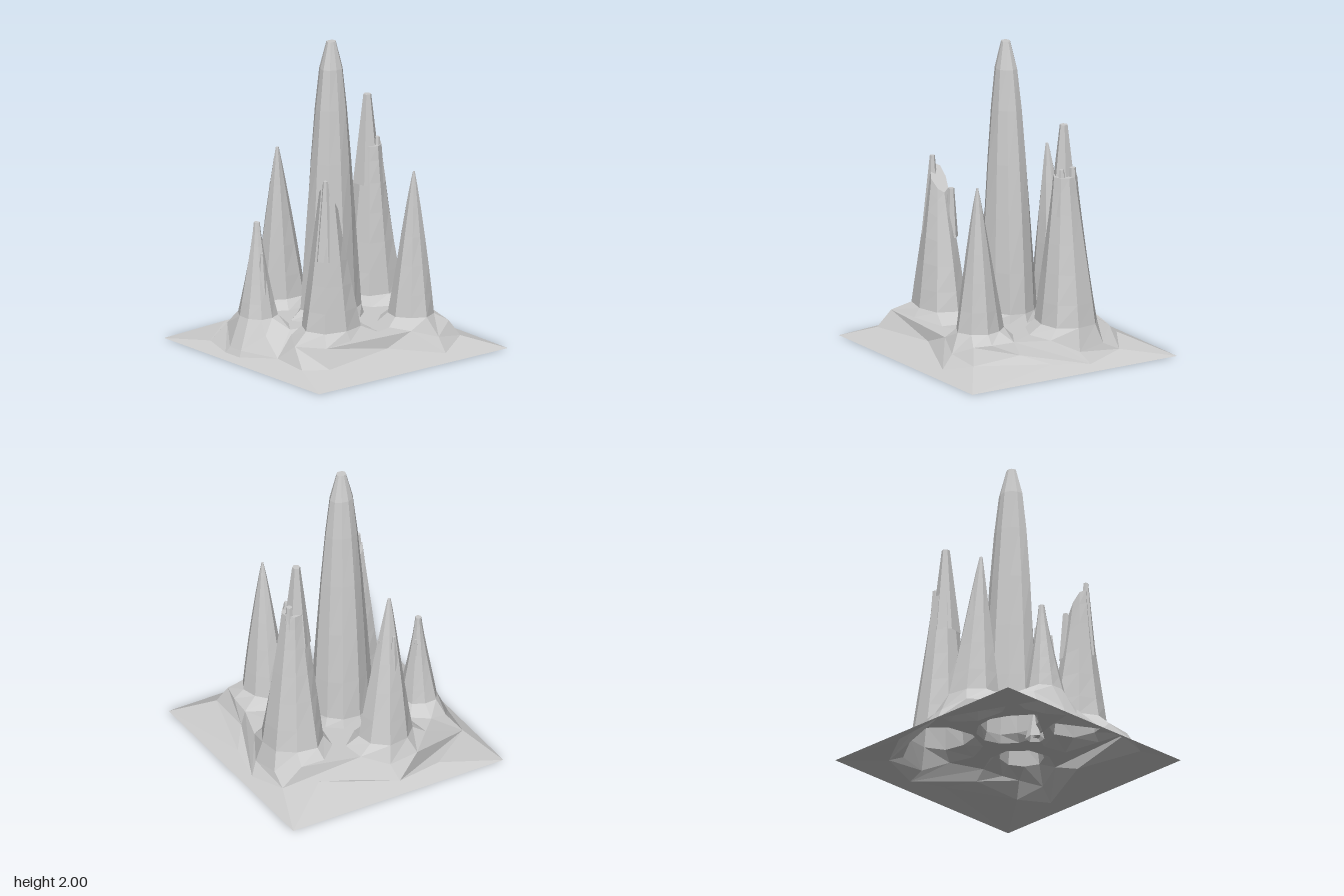
import * as THREE from 'three';

const HALF = 0.77;
const BODY_BASE = 0.25;
const LEVELS = [0, 0.15, 0.35, 0.55, 0.75, 0.9, 1];
const material = new THREE.MeshStandardMaterial({ color: 0xcccccc, flatShading: true, side: THREE.DoubleSide });

// Elliptical foot outline; each listed corner pulls the nearest point onto itself
function makeFoot(sides, turn, [x, z], [rx, rz], corners = []) {
  const foot = Array.from({ length: sides }, (_, i) => {
    const a = turn + i / sides * Math.PI * 2;
    return new THREE.Vector2(x + rx * Math.cos(a), z + rz * Math.sin(a));
  });
  for (const corner of corners) {
    const target = new THREE.Vector2(...corner);
    foot.reduce((near, p) => (p.distanceTo(target) < near.distanceTo(target) ? p : near)).copy(target);
  }
  return foot;
}

// Ground rises from the square rim to a low plateau
function plateau(x, z) {
  const edge = HALF - Math.max(Math.abs(x), Math.abs(z));
  return THREE.MathUtils.clamp(0.93 * edge, 0, 0.195);
}

function makeMesh(name, points, index) {
  const geometry = new THREE.BufferGeometry();
  geometry.setAttribute('position', new THREE.Float32BufferAttribute(points.flat(), 3));
  geometry.setIndex(index);
  geometry.computeVertexNormals();
  const mesh = new THREE.Mesh(geometry, material);
  mesh.name = name;
  return mesh;
}

// Skin a stack of equal-length rings and close the top with a fan
function loft(name, rings) {
  const n = rings[0].length, index = [];
  for (let r = 0; r < rings.length - 1; r++) {
    for (let i = 0; i < n; i++) {
      const a = r * n + i, b = r * n + (i + 1) % n;
      index.push(b, a, a + n, b, a + n, b + n);
    }
  }
  const top = (rings.length - 1) * n;
  for (let i = 1; i < n - 1; i++) index.push(top, top + i + 1, top + i);
  return makeMesh(name, rings.flat(), index);
}

// Spire tapering from its foot to a tip; power bends the flank, blunt is the share of radius left on top
function makeSpire({ name, sides, turn = 0, base, spread, corners, body, tip, height, power, blunt, tilt = 0, crags = [] }) {
  const group = new THREE.Group();
  group.name = name;
  const foot = makeFoot(sides, turn, base, spread, corners);
  const rings = LEVELS.map((t, level) => {
    const scale = blunt + (1 - blunt) * (1 - t) ** power;
    return foot.map((_, i) => {
      const a = turn + i / sides * Math.PI * 2;
      const rough = scale * (1 + 0.05 * Math.sin(i * 2.4 + level * 0.5));
      const dx = body[0] * rough * Math.cos(a), dz = body[1] * rough * Math.sin(a);
      return [
        THREE.MathUtils.lerp(base[0], tip[0], t) + dx,
        THREE.MathUtils.lerp(BODY_BASE, height, t) + tilt * t ** 3 * dx,
        THREE.MathUtils.lerp(base[1], tip[1], t) + dz
      ];
    });
  });
  group.add(loft(name + 'Body', [foot.map(p => [p.x, plateau(p.x, p.y), p.y]), ...rings]));
  group.add(...crags);
  return { group, foot };
}

// Small pointed shard that breaks up a summit
function makeCrag(x, z, bottom, top, radius, tipRadius) {
  const rings = [0, 0.5, 1].map(t => {
    const r = THREE.MathUtils.lerp(radius, tipRadius, t);
    return Array.from({ length: 6 }, (_, i) => {
      const a = i * Math.PI / 3 + x * 9;
      return [x + r * Math.cos(a), THREE.MathUtils.lerp(bottom, top, t), z + r * Math.sin(a)];
    });
  });
  return loft('crag', rings);
}

// Faceted sheet between an outline and its holes, each loop given as { points, lift }
function makeSheet(name, outline, holes) {
  const faces = THREE.ShapeUtils.triangulateShape(outline.points, holes.map(h => h.points));
  const points = [outline, ...holes].flatMap(loop =>
    loop.points.map(p => [p.x, loop.lift * plateau(p.x, p.y), p.y]));
  return makeMesh(name, points, faces.flatMap(([a, b, c]) => [a, c, b]));
}

// Square ground: a gentle outer slope, then a step up to the hollow spire feet
function makeGround(feet) {
  const ground = new THREE.Group();
  ground.name = 'ground';
  const loop = (pairs, lift) => ({ points: pairs.map(p => new THREE.Vector2(...p)), lift });
  const rim = loop([[-HALF, -HALF], [HALF, -HALF], [HALF, HALF], [-HALF, HALF]], 0);
  const apron = loop([[-0.72, -0.08], [-0.72, -0.22], [-0.68, -0.42], [-0.36, -0.66], [-0.06, -0.69],
    [0.22, -0.6], [0.44, -0.53], [0.64, -0.42], [0.71, -0.16], [0.66, 0.1], [0.54, 0.26], [0.52, 0.6],
    [0.32, 0.7], [0.1, 0.63], [-0.05, 0.57], [-0.56, 0.62], [-0.66, 0.47], [-0.64, 0.2]], 0.6);
  ground.add(makeSheet('outerGround', rim, [apron]));
  ground.add(makeSheet('innerGround', apron, feet.map(points => ({ points, lift: 1 }))));
  return ground;
}

export function createModel() {
  const central = makeSpire({
    name: 'centralSpire', sides: 11, base: [-0.03, -0.02], spread: [0.22, 0.2], corners: [[-0.32, -0.06]],
    body: [0.2, 0.175], tip: [-0.035, -0.005], height: 2, power: 0.55, blunt: 0.16,
    crags: [makeCrag(-0.09, 0.15, 0.17, 0.38, 0.06, 0.012)]
  });
  const right = makeSpire({
    name: 'rightSpire', sides: 9, turn: 0.2, base: [0.42, -0.17], spread: [0.24, 0.28],
    body: [0.2, 0.2], tip: [0.41, -0.16], height: 1.2, power: 1.15, blunt: 0.38,
    crags: [makeCrag(0.39, -0.165, 0.95, 1.53, 0.095, 0.026), makeCrag(0.435, -0.12, 0.95, 1.25, 0.055, 0.015),
      makeCrag(0.455, -0.19, 0.95, 1.26, 0.045, 0.02)]
  });
  const frontRight = makeSpire({
    name: 'frontRightSpire', sides: 9, turn: 0.87, base: [0.28, 0.4], spread: [0.21, 0.22],
    corners: [[0.46, 0.56], [0.32, 0.63], [0.5, 0.28]],
    body: [0.145, 0.155], tip: [0.29, 0.42], height: 1.18, power: 0.9, blunt: 0.04
  });
  const frontLeft = makeSpire({
    name: 'frontLeftSpire', sides: 8, base: [-0.3, 0.31], spread: [0.29, 0.2],
    corners: [[-0.52, 0.54], [-0.04, 0.47]],
    body: [0.2, 0.17], tip: [-0.315, 0.315], height: 1.08, power: 1.05, blunt: 0.32, tilt: -1.3,
    crags: [makeCrag(-0.36, 0.335, 0.7, 1.22, 0.07, 0.016), makeCrag(-0.25, 0.265, 0.7, 1.02, 0.045, 0.02)]
  });
  const backLeft = makeSpire({
    name: 'backLeftSpire', sides: 9, base: [-0.5, -0.17], spread: [0.18, 0.22],
    corners: [[-0.7, -0.09], [-0.7, -0.2], [-0.44, 0.08]],
    body: [0.12, 0.13], tip: [-0.49, -0.19], height: 0.85, power: 1.2, blunt: 0.16,
    crags: [makeCrag(-0.505, -0.12, 0.4, 0.66, 0.04, 0.008), makeCrag(-0.46, -0.21, 0.4, 0.7, 0.035, 0.008)]
  });
  const back = makeSpire({
    name: 'backSpire', sides: 8, turn: 0.3, base: [-0.11, -0.43], spread: [0.27, 0.2],
    body: [0.18, 0.15], tip: [-0.155, -0.395], height: 1.23, power: 0.95, blunt: 0.06,
    crags: [makeCrag(-0.15, -0.46, 0.6, 0.98, 0.045, 0.01), makeCrag(-0.09, -0.4, 0.6, 0.94, 0.045, 0.015)]
  });

  const spires = [central, right, frontRight, frontLeft, backLeft, back];
  const model = new THREE.Group();
  model.name = 'rockSpires';
  model.add(makeGround(spires.map(s => s.foot)), ...spires.map(s => s.group));
  return model;
}
